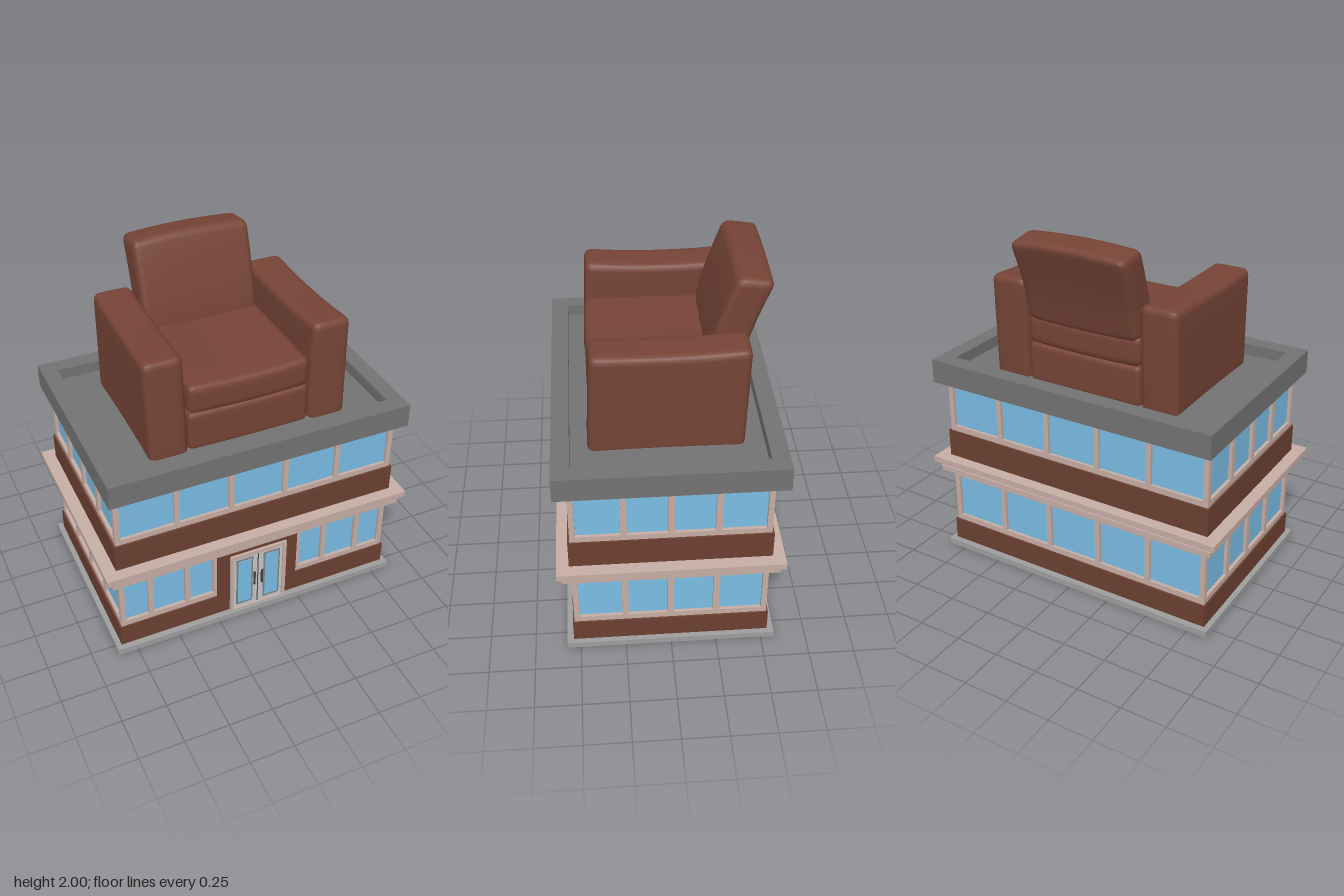
import * as THREE from 'three';
import { mergeVertices } from 'three/addons/utils/BufferGeometryUtils.js';

const material = (name, color) => new THREE.MeshStandardMaterial({ name, color });

export function createModel() {
  const leather = material('brown leather', 0x764436);
  const brick = material('brick', 0x6c4032);
  const stone = material('pink stone', 0xc6aea4);
  const glass = material('blue glass', 0x7abde4);
  const roofGrey = material('roof grey', 0x737373);
  const baseGrey = material('base grey', 0x9e9e9e);
  const doorGrey = material('door grey', 0xc8c8c7);
  const trimGrey = material('trim grey', 0x80807e);
  const dark = material('dark handle', 0x444444);

  const model = new THREE.Group();
  model.name = 'armchairStore';
  const group = (name, parent = model) => {
    const g = new THREE.Group();
    g.name = name;
    parent.add(g);
    return g;
  };
  const add = (parent, name, geometry, mat) => {
    const mesh = new THREE.Mesh(geometry, mat);
    mesh.name = name;
    parent.add(mesh);
    return mesh;
  };
  // Box given by its limits on each axis
  const box = (parent, name, mat, x0, x1, y0, y1, z0, z1) => {
    const mesh = add(parent, name, new THREE.BoxGeometry(x1 - x0, y1 - y0, z1 - z0), mat);
    mesh.position.set((x0 + x1) / 2, (y0 + y1) / 2, (z0 + z1) / 2);
    return mesh;
  };
  const slab = (parent, name, mat, hx, hz, y0, y1) =>
    box(parent, name, mat, -hx, hx, y0, y1, -hz, hz);
  const trace = (path, x0, x1, y0, y1) =>
    path.moveTo(x0, y0).lineTo(x1, y0).lineTo(x1, y1).lineTo(x0, y1).closePath();
  // Flat panel with rectangular openings
  const panel = (x0, x1, y0, y1, openings, depth) => {
    const shape = new THREE.Shape();
    trace(shape, x0, x1, y0, y1);
    for (const o of openings) {
      const hole = new THREE.Path();
      trace(hole, ...o);
      shape.holes.push(hole);
    }
    return new THREE.ExtrudeGeometry(shape, { depth, bevelEnabled: false });
  };

  // Building body
  const building = group('building');
  slab(building, 'basePlinth', baseGrey, 0.862, 0.574, 0, 0.035);
  slab(building, 'lowerBrick', brick, 0.832, 0.538, 0.035, 0.165);
  slab(building, 'brickLedge', brick, 0.832, 0.538, 0.495, 0.51);
  slab(building, 'upperBrick', brick, 0.832, 0.538, 0.6, 0.76);
  slab(building, 'lowerGlass', glass, 0.803, 0.51, 0.165, 0.495);
  slab(building, 'upperGlass', glass, 0.803, 0.51, 0.76, 1.08);
  box(building, 'entranceWall', brick, -0.25, 0.245, 0.165, 0.495, 0.4, 0.538);

  // Cornice between floors
  slab(building, 'corniceLower', stone, 0.87, 0.58, 0.51, 0.54);
  const slope = slab(building, 'corniceSlope', stone, 0.902, 0.605, 0.54, 0.565);
  const sp = slope.geometry.attributes.position;
  for (let i = 0; i < sp.count; i++) {
    if (sp.getY(i) < 0) sp.setXYZ(i, sp.getX(i) * 0.955, sp.getY(i), sp.getZ(i) * 0.945);
  }
  slope.geometry.computeVertexNormals();
  slab(building, 'corniceUpper', stone, 0.902, 0.605, 0.565, 0.6);

  // Window frames on the four walls
  const longPanes = [[-0.803, -0.49], [-0.46, -0.175], [-0.145, 0.145], [0.175, 0.46], [0.49, 0.803]];
  const sidePanes = [[-0.508, -0.265], [-0.23, -0.017], [0.017, 0.23], [0.265, 0.508]];
  const leftPanes = [[0.27, 0.41], [0.44, 0.627], [0.658, 0.8]];
  const rightPanes = leftPanes.map(([a, b]) => [-b, -a]);
  const frame = (name, x0, x1, panes, y0, y1, angle, distance) => {
    const openings = panes.map(([a, b]) => [a, b, y0 + 0.033, y1 - 0.032]);
    const geometry = panel(x0, x1, y0, y1, openings, 0.03);
    geometry.translate(0, 0, distance - 0.03).rotateY(angle);
    add(building, name, geometry, stone);
  };
  for (const [floor, y0, y1] of [['lower', 0.165, 0.495], ['upper', 0.76, 1.08]]) {
    for (const s of [-1, 1]) {
      frame(floor + (s > 0 ? 'LeftFrame' : 'RightFrame'), -0.527, 0.527, sidePanes, y0, y1, s * Math.PI / 2, 0.822);
    }
    frame(floor + 'BackFrame', -0.822, 0.822, longPanes, y0, y1, Math.PI, 0.527);
  }
  frame('upperFrontFrame', -0.822, 0.822, longPanes, 0.76, 1.08, 0, 0.527);
  frame('frontLeftFrame', 0.245, 0.822, leftPanes, 0.165, 0.495, 0, 0.529);
  frame('frontRightFrame', -0.822, -0.25, rightPanes, 0.165, 0.495, 0, 0.529);

  // Double entrance door
  const door = group('entranceDoor');
  const surround = panel(-0.173, 0.173, 0.035, 0.445, [[-0.152, 0.152, 0.036, 0.422]], 0.03);
  add(door, 'doorSurround', surround.translate(0, 0, 0.523), stone);
  for (const s of [-1, 1]) {
    const leaf = group(s > 0 ? 'leftLeaf' : 'rightLeaf', door);
    const mid = s * 0.078;
    box(leaf, 'leafPanel', doorGrey, mid - 0.074, mid + 0.074, 0.037, 0.421, 0.53, 0.543);
    const cx = s * 0.084;
    box(leaf, 'paneTrim', trimGrey, cx - 0.051, cx + 0.051, 0.06, 0.403, 0.543, 0.545);
    box(leaf, 'pane', glass, cx - 0.041, cx + 0.041, 0.073, 0.392, 0.545, 0.547);
    box(leaf, 'handle', dark, s * 0.023 - 0.005, s * 0.023 + 0.005, 0.185, 0.28, 0.543, 0.553);
  }
  box(door, 'doorGap', dark, -0.004, 0.004, 0.037, 0.421, 0.53, 0.54);

  // Roof with a parapet around a sunken deck
  const parapet = panel(-0.862, 0.862, -0.6, 0.6, [[-0.77, 0.77, -0.505, 0.505]], 0.135);
  add(building, 'roofParapet', parapet.rotateX(-Math.PI / 2).translate(0, 1.08, 0), roofGrey);
  slab(building, 'roofDeck', roofGrey, 0.78, 0.515, 1.081, 1.15);

  // Padded block with rounded edges, bent by a rule
  const N = 10;
  const padded = (parent, name, size, r, warp) => {
    const geo = new THREE.BoxGeometry(2, 2, 2, N, N, N);
    geo.deleteAttribute('uv');
    geo.deleteAttribute('normal');
    const pos = geo.attributes.position;
    const p = new THREE.Vector3(), inner = new THREE.Vector3();
    for (let i = 0; i < pos.count; i++) {
      p.fromBufferAttribute(pos, i);
      for (const [k, axis] of ['x', 'y', 'z'].entries()) {
        const t = Math.abs(p[axis]), flat = size[k] / 2 - r;
        const v = t > 0.601 ? flat + r * (t - 0.6) / 0.4 : flat * t / 0.6;
        p[axis] = Math.sign(p[axis]) * v;
        inner[axis] = Math.sign(p[axis]) * Math.min(v, flat);
      }
      p.sub(inner);
      if (p.length() > 0) p.setLength(r);
      p.add(inner);
      warp(p);
      pos.setXYZ(i, p.x, p.y, p.z);
    }
    const smooth = mergeVertices(geo, 1e-5);
    smooth.computeVertexNormals();
    return add(parent, name, smooth, leather);
  };

  const chair = group('armchair');
  // Arms: dipped tops, flared a little toward the front
  for (const s of [-1, 1]) {
    padded(chair, s > 0 ? 'leftArm' : 'rightArm', [0.218, 0.59, 0.8], 0.04, (p) => {
      const up = (p.y + 0.295) / 0.59, along = p.z / 0.4;
      p.x += s * (0.453 + 0.008 * up * (along + 0.5) + 0.006 * along * along);
      p.y += 1.415 + up * (0.016 * along * along - 0.007);
      p.z += along > 0 ? 0.015 - 0.026 * up : -0.002 - 0.018 * up;
    });
  }
  // Seat base and cushion
  padded(chair, 'seatBase', [0.69, 0.235, 0.81], 0.03, (p) => {
    p.z *= 1 - 0.015 * (p.x / 0.34) ** 2;
    p.y += 1.25;
  });
  padded(chair, 'seatCushion', [0.69, 0.17, 0.81], 0.038, (p) => {
    p.z *= 1 - 0.015 * (p.x / 0.34) ** 2;
    p.y += 1.448 - 0.008 * (1 - (p.x / 0.345) ** 2);
  });
  // Backrest: leans back with an arched top
  padded(chair, 'backrest', [0.676, 0.475, 0.192], 0.038, (p) => {
    const t = (p.y + 0.2375) / 0.475, zl = p.z;
    p.x *= 0.985 + 0.015 * t;
    p.y += 1.738 + t * (0.016 * (1 - (p.x / 0.336) ** 2) + 0.15 * zl)
      - (1 - t) * 0.012 * (1 - (p.x / 0.336) ** 2);
    p.z += -0.312 - 0.146 * t ** 1.35;
  });
  return model;
}
